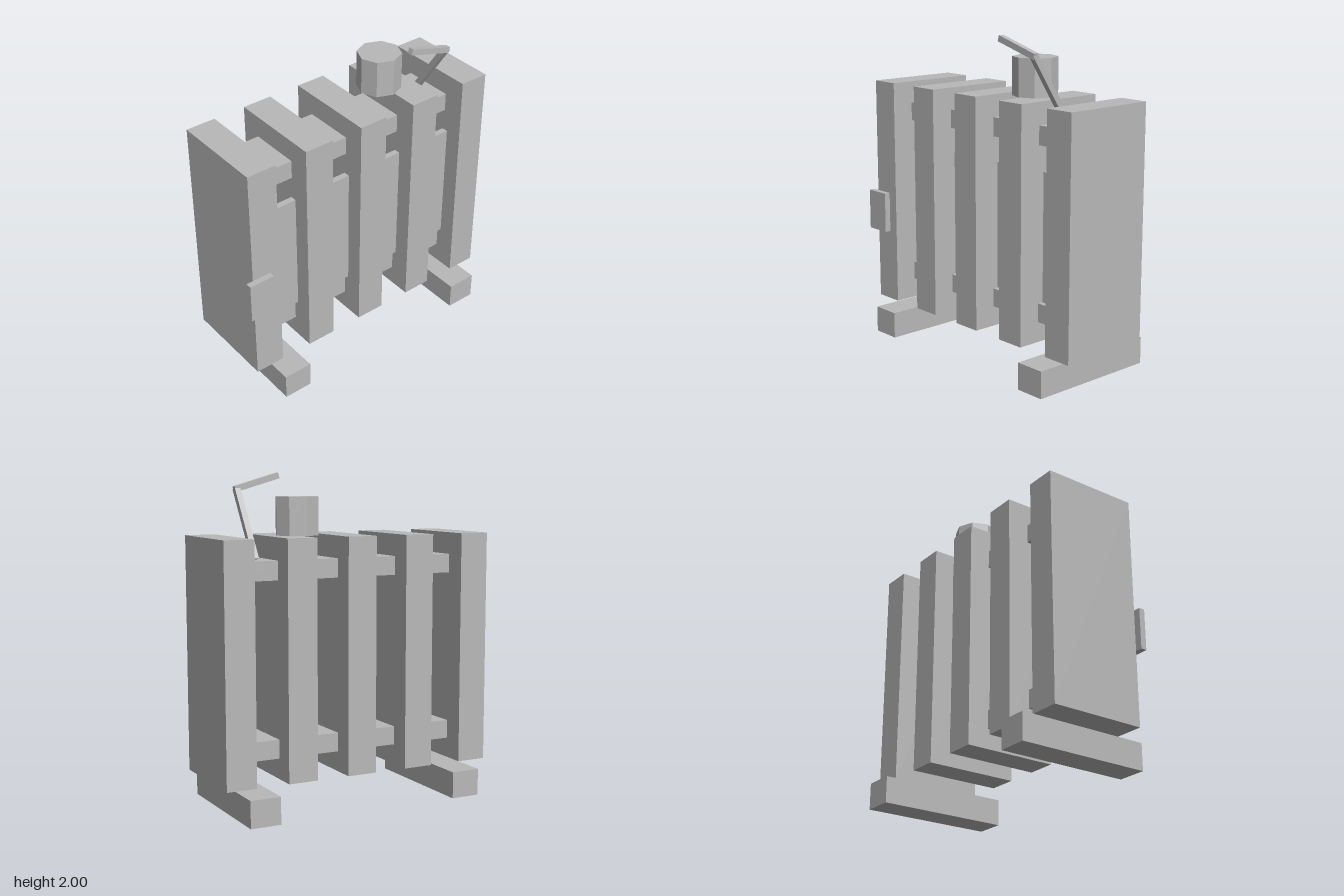
import * as THREE from 'three';

export function createModel() {
  const model = new THREE.Group();
  const grey = new THREE.MeshStandardMaterial({ color: 0xb8b8b8, flatShading: true });
  grey.name = 'grey metal';

  const add = (name, geometry, parent = model) => {
    const mesh = new THREE.Mesh(geometry, grey);
    mesh.name = name;
    parent.add(mesh);
    return mesh;
  };

  // Box given by its limits on each axis
  const box = (name, [x0, x1], [y0, y1], [z0, z1], parent) => {
    const mesh = add(name, new THREE.BoxGeometry(x1 - x0, y1 - y0, z1 - z0), parent);
    mesh.position.set((x0 + x1) / 2, (y0 + y1) / 2, (z0 + z1) / 2);
    return mesh;
  };

  // Square bar running between two points
  const bar = (name, a, b, size, parent) => {
    const from = new THREE.Vector3(...a), to = new THREE.Vector3(...b);
    const mesh = add(name, new THREE.BoxGeometry(size, size, from.distanceTo(to)), parent);
    mesh.position.copy(from).lerp(to, 0.5);
    mesh.lookAt(to);
    return mesh;
  };

  // Radiator fins, with pipes and a recessed plate in each gap
  const pitch = 0.393, half = 0.094;
  for (let i = 0; i < 5; i++) {
    const x = -0.767 + i * pitch;
    box('fin', [x - half, x + half], [0.195, 1.63], [-0.3, 0.3]);
    if (i === 4) continue;
    const gap = [x + half, x + pitch - half];
    box('lowerPipe', gap, [0.32, 0.435], [-0.165, 0.16]);
    box('upperPipe', gap, [1.38, 1.495], [-0.165, 0.16]);
    box('recessedPlate', [x + 0.163, x + pitch - half], [0.465, 1.24], [0.15, 0.19]);
  }

  // Feet
  box('rightFoot', [-0.74, -0.555], [0, 0.165], [-0.42, 0.42]);
  box('leftFoot', [0.615, 0.805], [0, 0.165], [-0.42, 0.42]);

  // Small plate on the front of the end fin
  box('controlPlate', [-0.905, -0.74], [0.655, 0.91], [0.3, 0.338]);

  // Eight-sided cap
  const cap = add('cap', new THREE.CylinderGeometry(0.135, 0.135, 0.23, 8));
  cap.position.set(0.303, 1.745, 0);

  // Bent handle
  const handle = new THREE.Group();
  handle.name = 'handle';
  model.add(handle);
  bar('handleRod', [0.576, 1.49, 0], [0.576, 1.907, 0.275], 0.036, handle);
  bar('handleArm', [0.59, 1.9, 0.272], [0.302, 1.982, 0.272], 0.036, handle);

  return model;
}
